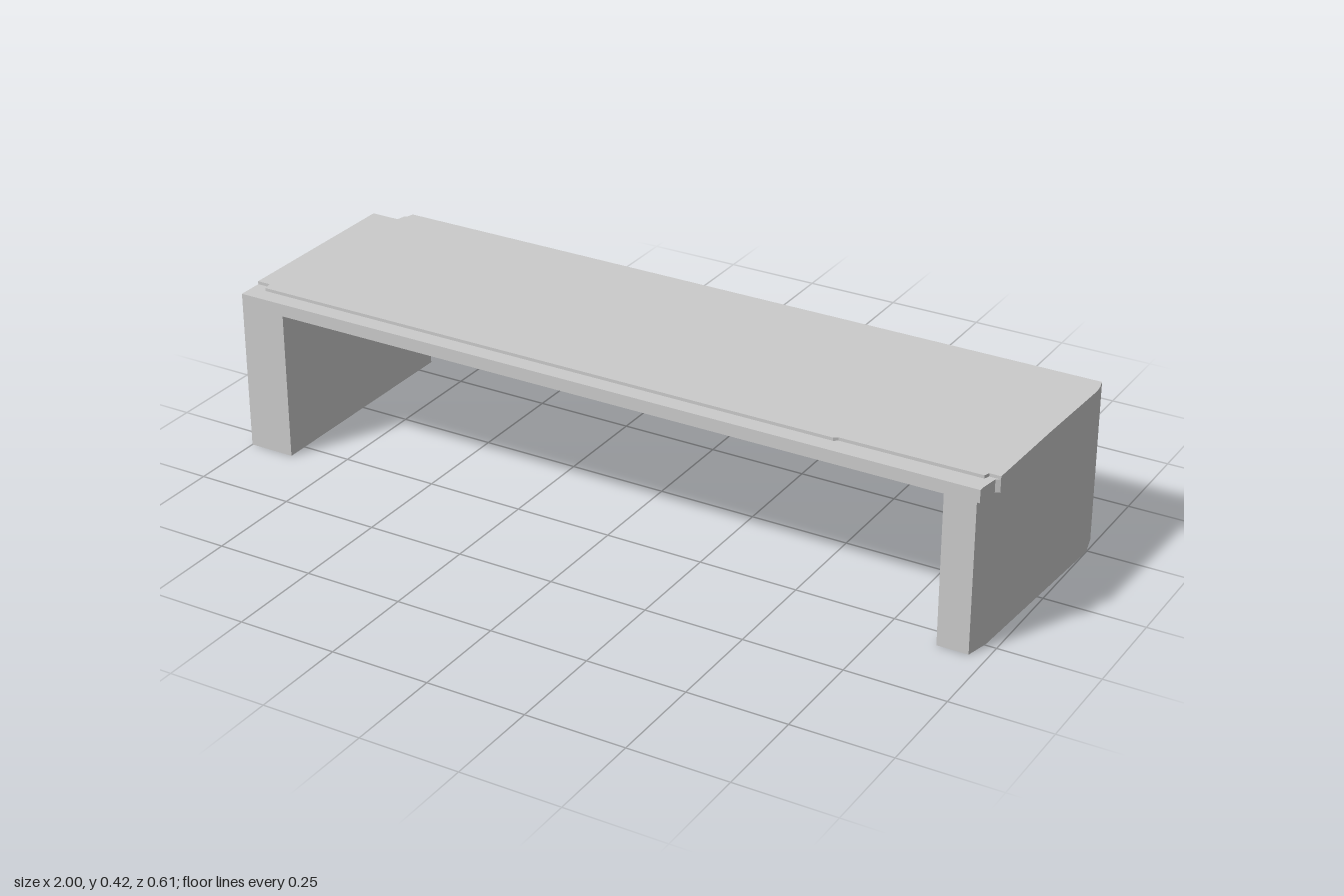
import * as THREE from 'three';

const material = new THREE.MeshStandardMaterial({ color: 0xcccccc, flatShading: true });

// Upright prism from a plan outline of [x, z] points, between two heights.
function prism(name, outline, bottom, top) {
  const shape = new THREE.Shape(outline.map(([x, z]) => new THREE.Vector2(x, z)));
  const geometry = new THREE.ExtrudeGeometry(shape, { depth: top - bottom, bevelEnabled: false });
  geometry.rotateX(Math.PI / 2).translate(0, top, 0);
  const mesh = new THREE.Mesh(geometry, material);
  mesh.name = name;
  return mesh;
}

export function createModel() {
  const group = new THREE.Group();
  group.name = 'bench';

  // Notched back corner shared by the slab and the right leg
  const notch = [[-1, -0.245], [-0.935, -0.245], [-0.92, -0.305]];

  // Right leg, with the notch at its back corner
  group.add(prism('rightLeg', [
    ...notch, [-0.88, -0.305], [-0.88, 0.305], [-1, 0.305],
  ], 0, 0.38));

  // Left leg, with a slanting outer face and chamfered corners
  group.add(prism('leftLeg', [
    [0.88, -0.305], [0.985, -0.305], [1, -0.245],
    [0.972, 0.245], [0.958, 0.305], [0.88, 0.305],
  ], 0, 0.38));

  // Slab spanning the legs
  group.add(prism('slab', [
    ...notch, [0.985, -0.305], [1, -0.245], [0.99, 0], [0.983, 0.24],
    [0.972, 0.245], [0.965, 0.292], [0.965, 0.305], [-1, 0.305],
  ], 0.38, 0.412));

  // Thin raised panel, set back from the front and back edges
  group.add(prism('topPanel', [
    [-1, -0.245], [-0.925, -0.245], [-0.92, -0.27], [-0.87, -0.263],
    [0.997, -0.263], [1, -0.245], [0.99, 0], [0.983, 0.24],
    [0.955, 0.24], [0.95, 0.254], [0.6, 0.256], [0.59, 0.263],
    [-0.96, 0.263], [-0.965, 0.24], [-1, 0.24],
  ], 0.412, 0.42));

  return group;
}
